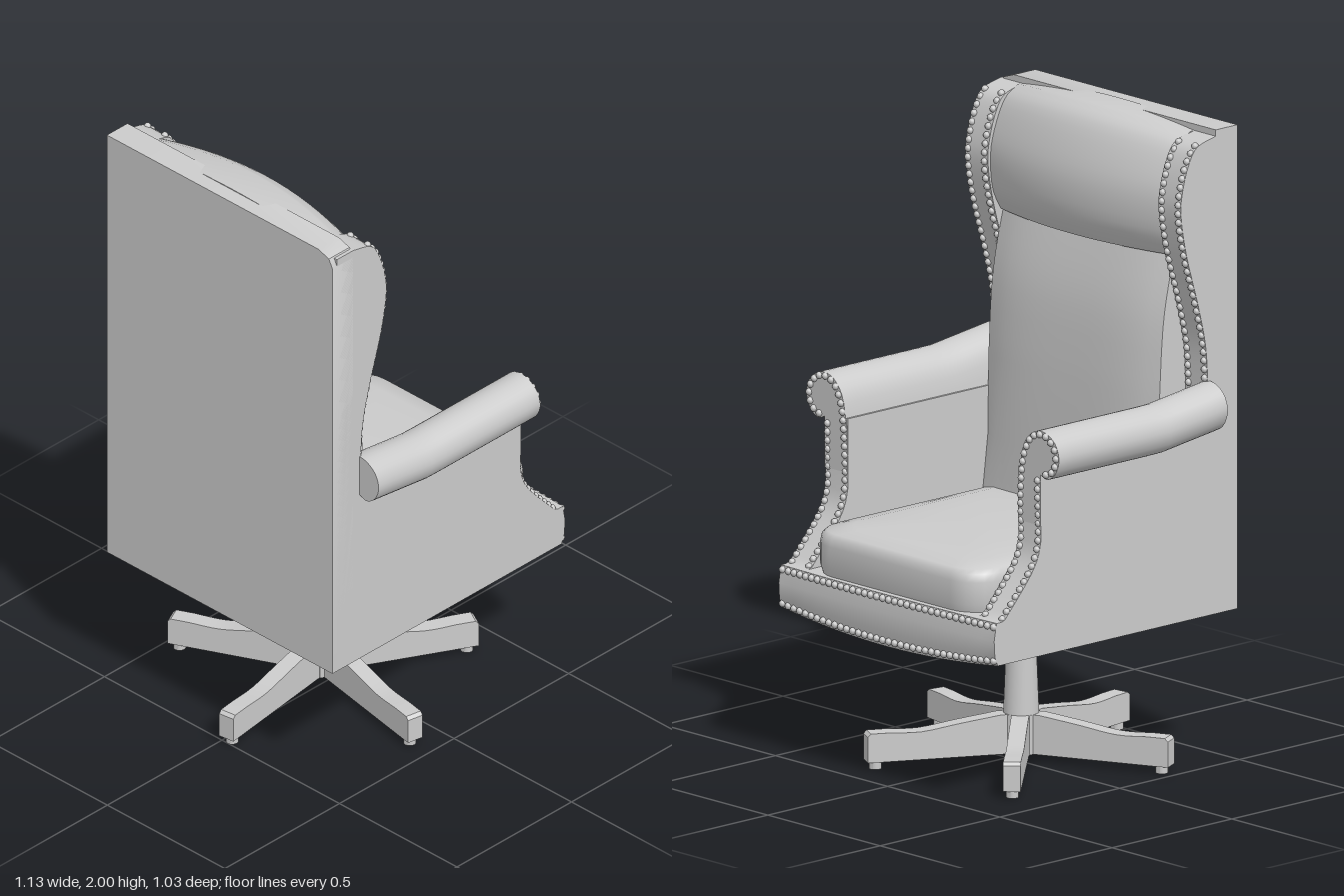
import * as THREE from 'three';
import { mergeGeometries, toCreasedNormals } from 'three/addons/utils/BufferGeometryUtils.js';

const material = new THREE.MeshStandardMaterial({ color: 0xcccccc, side: THREE.DoubleSide });

function add(parent, name, geometry, crease = 0.6) {
  const mesh = new THREE.Mesh(crease ? toCreasedNormals(geometry, crease) : geometry, material);
  mesh.name = name;
  parent.add(mesh);
  return mesh;
}

const shapeOf = (points) => new THREE.Shape(points.map(([x, y]) => new THREE.Vector2(x, y)));
const extrude = (points, depth, steps = 1) =>
  new THREE.ExtrudeGeometry(shapeOf(points), { depth, steps, bevelEnabled: false });

// Skin over matching closed rings of [x, y, z], closed by a fan at each end
function loft(rings) {
  const n = rings[0].length;
  const positions = rings.flat(2);
  const index = [];
  for (let i = 0; i < rings.length - 1; i++) {
    for (let j = 0; j < n; j++) {
      const a = i * n + j, b = i * n + (j + 1) % n;
      index.push(a, b, a + n, b, b + n, a + n);
    }
  }
  [0, rings.length - 1].forEach((r) => {
    const centre = positions.length / 3;
    for (let k = 0; k < 3; k++) positions.push(rings[r].reduce((sum, p) => sum + p[k], 0) / n);
    for (let j = 0; j < n; j++) {
      const a = r * n + j, b = r * n + (j + 1) % n;
      index.push(...(r === 0 ? [b, a, centre] : [a, b, centre]));
    }
  });
  const geometry = new THREE.BufferGeometry();
  geometry.setAttribute('position', new THREE.Float32BufferAttribute(positions, 3));
  geometry.setIndex(index);
  return geometry;
}

// Loft across the width; section(u) gives [z, y] points for u from -1 to 1
function loftAcross(halfWidth, section, count = 16) {
  const rings = [];
  for (let i = 0; i <= count; i++) {
    const u = -1 + 2 * i / count;
    rings.push(section(u).map(([z, y]) => [u * halfWidth, y, z]));
  }
  return loft(rings);
}

const smooth = (points, count) =>
  new THREE.SplineCurve(points.map(([x, y]) => new THREE.Vector2(x, y)))
    .getPoints(count).map((p) => [p.x, p.y]);

// Upholstery nails at even spacing along a path
function nailRow(parent, name, points) {
  const curve = new THREE.CatmullRomCurve3(points.map((p) => new THREE.Vector3(...p)));
  const count = Math.round(curve.getLength() / 0.027);
  const nails = curve.getSpacedPoints(count).map((p) =>
    new THREE.SphereGeometry(0.0115, 8, 6).translate(p.x, p.y, p.z));
  add(parent, name, mergeGeometries(nails), 0);
}

// Side outlines as [z, y]
const wingEdge = [[0.42, 1.975], [0.345, 1.955], [0.31, 1.91], [0.283, 1.83], [0.275, 1.75],
  [0.298, 1.62], [0.345, 1.46], [0.378, 1.32], [0.387, 1.19]];
const armEdge = [[-0.31, 0.83], [-0.325, 0.775], [-0.365, 0.715], [-0.46, 0.61]];

function addSide(parent, s) {
  const side = s > 0 ? 'left' : 'right';

  // Side panel with the wing
  const outline = [[0.49, 0.47], [0.49, 1.975], ...smooth(wingEdge, 32), [0.387, 1.05],
    [-0.31, 1.05], ...smooth(armEdge, 12), [-0.49, 0.6], [-0.49, 0.47]];
  const panel = extrude(outline, 0.1).rotateY(-Math.PI / 2).translate(s > 0 ? 0.48 : -0.38, 0, 0);
  add(parent, side + 'SidePanel', panel);

  // Rolled arm, rising a little towards the back
  const roll = smooth([[0.381, 1.0], [0.4, 1.11], [0.44, 1.165], [0.495, 1.178], [0.545, 1.15],
    [0.563, 1.1], [0.545, 1.052], [0.51, 1.03], [0.481, 1.04]], 28);
  const armShape = [[0.381, 0.88], ...roll, [0.481, 0.88]].map(([x, y]) => [x * s, y]);
  const arm = extrude(armShape, 0.705, 12).translate(0, 0, -0.312);
  const p = arm.attributes.position;
  for (let i = 0; i < p.count; i++) {
    const t = Math.max(0, (p.getZ(i) - 0.15) / 0.24);
    if (p.getY(i) > 0.95) p.setY(i, p.getY(i) + 0.03 * t);
  }
  add(parent, side + 'Arm', arm);

  // Nails on the wing, in two rows
  for (const x of [0.395, 0.468]) {
    nailRow(parent, side + 'WingNails', wingEdge.slice(1).map(([z, y]) => [s * x, y, z]));
  }

  // Nails up the arm front and around its scroll
  const rise = (x) => [...armEdge].reverse().map(([z, y]) => [s * x, y, z]);
  const scroll = [[0.393, 0.98], [0.41, 1.1], [0.445, 1.155], [0.495, 1.167], [0.537, 1.14],
    [0.55, 1.1], [0.535, 1.06], [0.505, 1.045]].map(([x, y]) => [s * x, y, -0.312]);
  nailRow(parent, side + 'ArmInnerNails', [...rise(0.393), ...scroll]);
  nailRow(parent, side + 'ArmOuterNails', [...rise(0.468), [s * 0.468, 1.02, -0.312]]);
}

function addUpholstery(parent) {
  // Flat back with one clipped top corner
  const back = extrude([[-0.48, 0.47], [0.48, 0.47], [0.48, 1.95], [0.465, 1.98], [0.42, 1.995],
    [-0.48, 1.995]], 0.09);
  add(parent, 'backPanel', back.translate(0, 0, 0.42));

  // Seat base with a bowed front rail
  add(parent, 'seatBase', loftAcross(0.48, (u) => {
    const c = 1 - u * u;
    return [[0.45, 0.47], [0.32, 0.47], [-0.49 - 0.01 * c, 0.47 - 0.03 * c],
      [-0.502 - 0.01 * c, 0.5 - 0.01 * c], [-0.505 - 0.01 * c, 0.55],
      [-0.495 - 0.01 * c, 0.605], [0.45, 0.605]];
  }));

  // Seat cushion: rounded front corners and a domed top
  const w = 0.378, front = -0.49, rear = 0.3, r = 0.11;
  const rim = [[w, rear], [-w, rear]];
  for (const s of [-1, 1]) {
    for (let i = 0; i <= 6; i++) {
      const a = (s < 0 ? i : 6 - i) / 6 * Math.PI / 2;
      rim.push([s * (w - r + r * Math.cos(a)), front + r - r * Math.sin(a)]);
    }
  }
  const mid = (front + rear) / 2;
  const levels = [[0.98, 0.6], [1, 0.63], [1, 0.7], [0.99, 0.725], [0.96, 0.738],
    [0.8, 0.75], [0.5, 0.758], [0.02, 0.762]];
  add(parent, 'seatCushion', loft(levels.map(([k, y]) =>
    rim.map(([x, z]) => [x * k, y, mid + (z - mid) * k]))), 0.9);

  // Back cushion
  const backProfile = [[0.45, 0.6], [0.238, 0.6], [0.24, 0.9],
    ...smooth([[0.243, 1.15], [0.255, 1.35], [0.275, 1.48], [0.31, 1.62]], 8), [0.45, 1.64]];
  add(parent, 'backCushion', loftAcross(0.381, (u) => backProfile.map(([z, y]) =>
    [z < 0.4 && y > 0.8 ? z + 0.035 * u ** 4 : z, y])));

  // Bowed headrest pillow
  const headProfile = [[0.46, 1.998],
    ...smooth([[0.355, 2.0], [0.3, 1.965], [0.26, 1.88], [0.237, 1.78], [0.245, 1.67],
      [0.28, 1.598]], 18), [0.42, 1.61]];
  add(parent, 'headrest', loftAcross(0.385, (u) => headProfile.map(([z, y]) =>
    [z < 0.4 ? z + 0.05 * u * u : z, y > 1.8 ? y - 0.025 * u * u * (y - 1.8) / 0.2 : y])), 0.8);

  // Nails along the front rail
  for (const [name, y, sag] of [['railTopNails', 0.592, 0], ['railBottomNails', 0.485, 0.025]]) {
    const path = [];
    for (let i = 0; i <= 8; i++) {
      const u = -1 + i / 4, c = 1 - u * u;
      path.push([u * 0.47, y - sag * c, -0.498 - 0.01 * c]);
    }
    nailRow(parent, name, path);
  }
}

// Column and five-legged swivel base
function addBase(parent) {
  const base = new THREE.Group();
  base.name = 'swivelBase';
  base.position.set(-0.035, 0, 0.025);
  parent.add(base);
  add(base, 'column', new THREE.CylinderGeometry(0.042, 0.056, 0.35, 20).translate(0, 0.305, 0));
  add(base, 'hub', new THREE.CylinderGeometry(0.058, 0.058, 0.125, 10).translate(0, 0.0855, 0));
  const legShape = [[0, 0.024], [0.49, 0.024], [0.49, 0.105], [0.48, 0.115],
    ...smooth([[0.42, 0.115], [0.32, 0.112], [0.2, 0.13], [0.07, 0.148]], 12), [0, 0.148]];
  for (let i = 0; i < 5; i++) {
    const angle = THREE.MathUtils.degToRad(10.5 + 72 * i);
    add(base, 'leg', extrude(legShape, 0.054).translate(0, 0, -0.027)).rotation.y = -angle;
    add(base, 'foot', new THREE.CylinderGeometry(0.02, 0.02, 0.03, 12))
      .position.set(0.46 * Math.cos(angle), 0.015, 0.46 * Math.sin(angle));
  }
}

export function createModel() {
  const chair = new THREE.Group();
  chair.name = 'wingbackOfficeChair';
  addUpholstery(chair);
  for (const s of [1, -1]) addSide(chair, s);
  addBase(chair);
  return chair;
}
